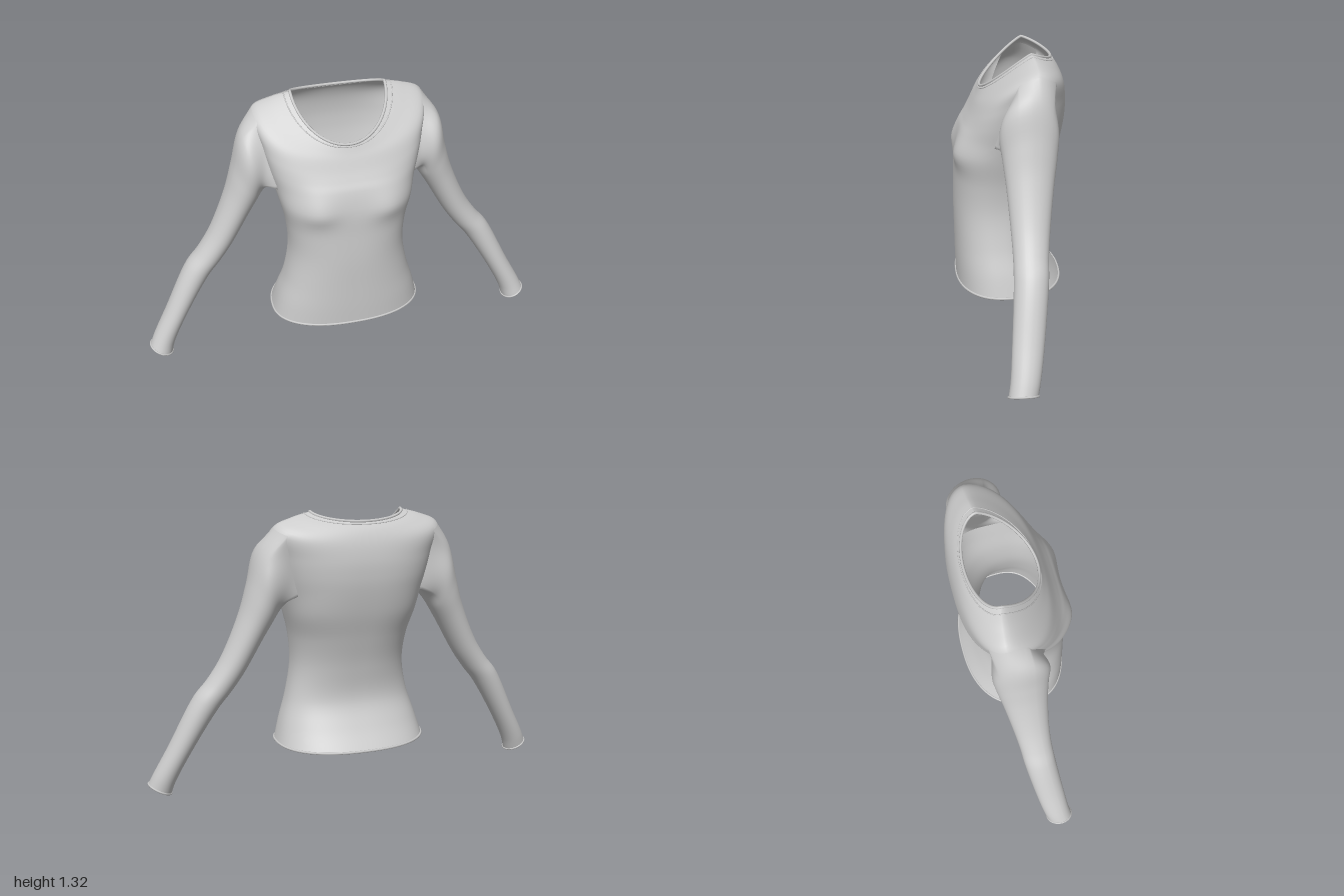
import * as THREE from 'three';

const COLS = 96, SUB = 6;           // columns around the body, rows between key sections
const FRONT = 4, BACK = 8;          // armhole reach in columns, to front and back of the side
const LOW = 6, HIGH = 9;            // key sections at the bottom and top of the armhole

// Body sections from hem to neck:
// half width, side z, front z, back z, side y, front y, back y, squareness power
const BODY = [
  [0.370, 0.03, 0.255, -0.255, 0.205, 0.205, 0.20, 0.85],
  [0.345, 0.04, 0.258, -0.190, 0.30, 0.30, 0.30, 0.85],
  [0.308, 0.05, 0.260, -0.138, 0.42, 0.42, 0.42, 0.85],
  [0.280, 0.05, 0.262, -0.152, 0.58, 0.58, 0.58, 0.85],
  [0.288, 0.04, 0.258, -0.190, 0.72, 0.72, 0.73, 0.80],
  [0.315, 0.02, 0.252, -0.230, 0.84, 0.85, 0.86, 0.72],
  [0.335, 0.00, 0.228, -0.256, 0.92, 0.95, 0.98, 0.74],
  [0.360, -0.02, 0.206, -0.263, 1.02, 0.99, 1.04, 0.76],
  [0.385, -0.05, 0.184, -0.264, 1.14, 1.03, 1.11, 0.80],
  [0.400, -0.10, 0.160, -0.252, 1.26, 1.08, 1.19, 0.85],
  [0.310, -0.10, 0.145, -0.230, 1.303, 1.11, 1.245, 0.92],
  [0.222, -0.09, 0.130, -0.200, 1.325, 1.143, 1.283, 1.00],
];

// Sleeve sections from shoulder to cuff: outer x, y, inner x, y, front z, back z
const SLEEVE = [
  [0.470, 1.165, 0.372, 0.870, 0.070, -0.190],
  [0.515, 1.000, 0.402, 0.825, 0.060, -0.180],
  [0.557, 0.860, 0.445, 0.755, 0.048, -0.162],
  [0.643, 0.665, 0.540, 0.590, 0.035, -0.135],
  [0.712, 0.560, 0.600, 0.505, 0.032, -0.122],
  [0.775, 0.485, 0.665, 0.425, 0.035, -0.115],
  [0.900, 0.245, 0.808, 0.193, 0.055, -0.082],
  [0.968, 0.120, 0.872, 0.068, 0.068, -0.060],
  [0.994, 0.066, 0.890, 0.012, 0.078, -0.048],
];

const material = new THREE.MeshStandardMaterial({ color: 0xcccccc, side: THREE.DoubleSide });

function addMesh(group, name, geometry) {
  const mesh = new THREE.Mesh(geometry, material);
  mesh.name = name;
  group.add(mesh);
  return mesh;
}

// Smooth each column of key points, returning rows of closed loops
function loftRows(keyLoops) {
  const count = (keyLoops.length - 1) * SUB;
  const curves = keyLoops[0].map((_, i) => new THREE.CatmullRomCurve3(keyLoops.map(loop => loop[i])));
  return Array.from({ length: count + 1 }, (_, j) => curves.map(c => c.getPoint(j / count)));
}

// Skin a stack of closed loops, leaving out the quads that skip() picks
function skin(rows, skip = () => false) {
  const n = rows[0].length, index = [];
  for (let j = 0; j < rows.length - 1; j++) {
    for (let i = 0; i < n; i++) {
      if (skip(i, j)) continue;
      const k = (i + 1) % n;
      const a = j * n + i, b = a + n, c = j * n + k, d = c + n;
      index.push(a, b, c, c, b, d);
    }
  }
  const geometry = new THREE.BufferGeometry().setFromPoints(rows.flat());
  geometry.setIndex(index);
  geometry.computeVertexNormals();
  return geometry;
}

// Rolled edge or raised stitch line along a closed loop
function piping(loop, radius) {
  return new THREE.TubeGeometry(new THREE.CatmullRomCurve3(loop, true), 128, radius, 6, true);
}

function bodyLoop([w, zs, zf, zb, ys, yf, yb, p]) {
  return Array.from({ length: COLS }, (_, i) => {
    const a = (i / COLS) * Math.PI * 2, c = Math.cos(a), s = Math.sin(a);
    const depth = Math.abs(s) ** p, rise = Math.abs(s) ** 1.15;
    return new THREE.Vector3(
      w * Math.sign(c) * Math.abs(c) ** p,
      ys + ((s > 0 ? yf : yb) - ys) * rise,
      zs + ((s > 0 ? zf : zb) - zs) * depth);
  });
}

// Soft fullness on each side of the chest
function shapeChest(rows) {
  for (const p of rows.flat()) {
    if (p.z < 0.1) continue;
    const dx = (Math.abs(p.x) - 0.17) / 0.09;
    const dy = (p.y - 0.855) / (p.y < 0.855 ? 0.06 : 0.09);
    p.z += 0.022 * Math.exp(-dx * dx - dy * dy);
  }
}

// Edge of the armhole: along the bottom, up the front, over the top, down the back
function armholeLoop(rows) {
  const at = (i, j) => rows[j][(i + COLS) % COLS].clone();
  const lo = LOW * SUB, hi = HIGH * SUB, loop = [];
  for (let i = -BACK; i < FRONT; i++) loop.push(at(i, lo));
  for (let j = lo; j < hi; j++) loop.push(at(FRONT, j));
  for (let i = FRONT; i > -BACK; i--) loop.push(at(i, hi));
  for (let j = hi; j > lo; j--) loop.push(at(-BACK, j));
  return loop;
}

function sleeveRows(armhole) {
  const angles = armhole.map(p => Math.atan2((p.z + 0.055) / 0.13, (p.y - 1.09) / 0.17));
  const loops = SLEEVE.map(([ox, oy, ix, iy, zf, zb]) => angles.map(t => new THREE.Vector3(
    (ox + ix) / 2 + (ox - ix) / 2 * Math.cos(t),
    (oy + iy) / 2 + (oy - iy) / 2 * Math.cos(t),
    (zf + zb) / 2 + (zf - zb) / 2 * Math.sin(t))));
  return loftRows([armhole, ...loops]);
}

export function createModel() {
  const model = new THREE.Group();
  model.name = 'longSleeveTop';

  // Body with an opening for each arm
  const body = loftRows(BODY.map(bodyLoop));
  shapeChest(body);
  const inArmhole = (i, j) => {
    if (j < LOW * SUB || j >= HIGH * SUB) return false;
    const half = COLS / 2;
    return i < FRONT || i >= COLS - BACK || (i >= half - FRONT && i < half + BACK);
  };
  addMesh(model, 'body', skin(body, inArmhole));

  // Neckband and hem
  addMesh(model, 'neckBinding', piping(body[body.length - 1], 0.007));
  addMesh(model, 'neckStitching', piping(body[body.length - 3], 0.003));
  addMesh(model, 'hemRoll', piping(body[0], 0.006));

  // Sleeves, mirrored
  const sleeve = sleeveRows(armholeLoop(body));
  const sleeveGeometry = skin(sleeve);
  const cuffGeometry = piping(sleeve[sleeve.length - 1], 0.005);
  for (const [side, sign] of [['left', 1], ['right', -1]]) {
    const arm = new THREE.Group();
    arm.name = side + 'Arm';
    addMesh(arm, side + 'Sleeve', sleeveGeometry);
    addMesh(arm, side + 'Cuff', cuffGeometry);
    arm.scale.x = sign;
    model.add(arm);
  }
  return model;
}
